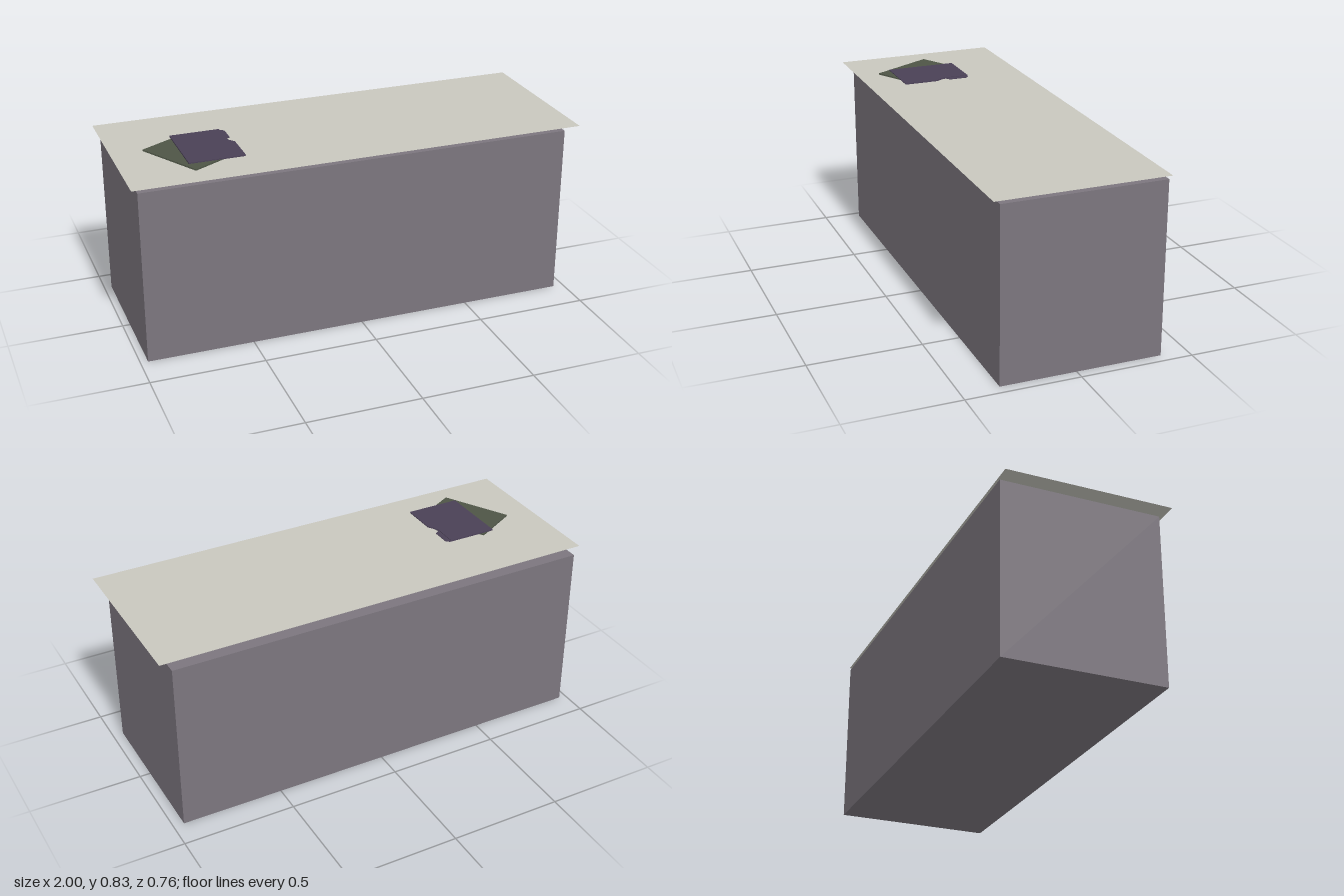
import * as THREE from 'three';

const body = new THREE.MeshStandardMaterial({ name: 'warm grey body', color: 0x7c767e });
const pale = new THREE.MeshStandardMaterial({ name: 'pale stone top', color: 0xc8c7be, side: THREE.DoubleSide });
const purple = new THREE.MeshStandardMaterial({ name: 'dark purple cover', color: 0x4a4056 });
const green = new THREE.MeshStandardMaterial({ name: 'dark green cover', color: 0x4e5546 });

// Thin flat sheet from an outline of [x, z] points, with its upper face at height y
function leaf(name, points, y, thickness, material) {
  const shape = new THREE.Shape(points.map(([x, z]) => new THREE.Vector2(x, z)));
  const geometry = new THREE.ExtrudeGeometry(shape, { depth: thickness, bevelEnabled: false });
  geometry.rotateX(Math.PI / 2);
  const mesh = new THREE.Mesh(geometry, material);
  mesh.name = name;
  mesh.position.y = y;
  return mesh;
}

export function createModel() {
  const model = new THREE.Group();
  model.name = 'counter';

  // Solid counter block
  const base = new THREE.Mesh(new THREE.BoxGeometry(1.92, 0.775, 0.715), body);
  base.name = 'counterBody';
  base.position.set(-0.007, 0.3875, -0.0225);
  model.add(base);

  // Paper-thin worktop floating just above the block
  const top = new THREE.Mesh(new THREE.PlaneGeometry(2, 0.75).rotateX(-Math.PI / 2), pale);
  top.name = 'counterTop';
  top.position.set(0, 0.808, 0.005);
  model.add(top);

  // Lower magazine, turned on the counter
  const lower = new THREE.Group();
  lower.name = 'greenMagazine';
  const greenOutline = [
    [-0.865, 0.005], [-0.71, 0.285], [-0.52, 0.182], [-0.655, -0.07], [-0.67, -0.098], [-0.685, -0.093],
  ];
  lower.add(leaf('greenCover', greenOutline, 0.821, 0.003, green));
  lower.add(leaf('greenBackCover', greenOutline, 0.8165, 0.0015, green));
  model.add(lower);

  // Upper magazine: back cover, front cover with a worn right edge, and spine
  const upper = new THREE.Group();
  upper.name = 'purpleMagazine';
  upper.add(leaf('purpleBackCover', [
    [-0.724, -0.09], [-0.724, 0.225], [-0.482, 0.225], [-0.482, 0.07], [-0.5, 0.043],
    [-0.505, 0.02], [-0.484, 0.005], [-0.484, -0.075], [-0.5, -0.09],
  ], 0.824, 0.0015, purple));
  upper.add(leaf('purpleCover', [
    [-0.724, -0.09], [-0.724, 0.228], [-0.48, 0.228], [-0.48, 0.07],
    [-0.5, 0.043], [-0.507, 0.02], [-0.505, -0.09],
  ], 0.8285, 0.002, purple));
  upper.add(leaf('purpleSpine', [
    [-0.724, -0.09], [-0.724, 0.228], [-0.718, 0.228], [-0.718, -0.09],
  ], 0.8275, 0.0045, purple));
  model.add(upper);

  return model;
}
